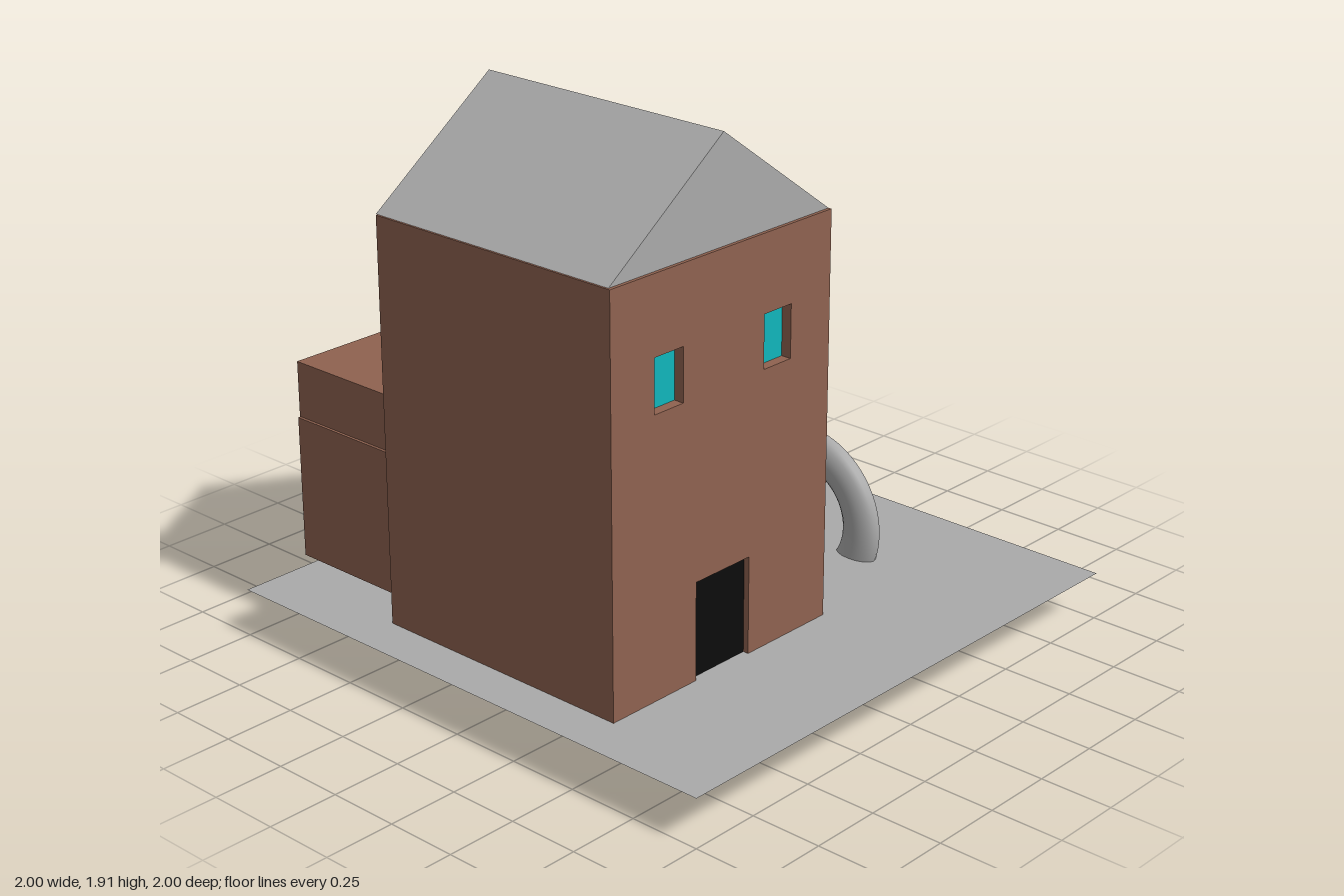
import * as THREE from 'three';

const brick = new THREE.MeshStandardMaterial({ color: 0x8f6250 });
brick.name = 'brick';
const grey = new THREE.MeshStandardMaterial({ color: 0xaaaaaa, side: THREE.DoubleSide });
grey.name = 'grey';
const glass = new THREE.MeshStandardMaterial({ color: 0x10b6bc });
glass.name = 'glass';
const black = new THREE.MeshStandardMaterial({ color: 0x0c0c0c });
black.name = 'black';

export function createModel() {
  const model = new THREE.Group();
  const add = (name, geometry, material) => {
    const mesh = new THREE.Mesh(geometry, material);
    mesh.name = name;
    model.add(mesh);
    return mesh;
  };
  // Box given by its minimum and maximum corners
  const box = (name, material, [x0, y0, z0], [x1, y1, z1]) =>
    add(name, new THREE.BoxGeometry(x1 - x0, y1 - y0, z1 - z0), material)
      .position.set((x0 + x1) / 2, (y0 + y1) / 2, (z0 + z1) / 2);
  // Points are [z, y]; the outline is extruded along x
  const toVectors = (points) => points.map(([z, y]) => new THREE.Vector2(-z, y));
  const extrudeX = (shape, x0, x1) =>
    new THREE.ExtrudeGeometry(shape, { depth: x1 - x0, bevelEnabled: false })
      .rotateY(Math.PI / 2).translate(x0, 0, 0);

  // Ground sheet
  add('ground', new THREE.PlaneGeometry(2, 2).rotateX(-Math.PI / 2), grey).position.y = 0.168;

  // House body, with a front wall cut out for the door and windows
  const inner = 0.48, outer = 0.52;
  box('houseBody', brick, [-0.465, 0.155, -0.145], [inner, 1.555, 0.84]);
  const wall = new THREE.Shape(toVectors([
    [0.84, 0.155], [0.47, 0.155], [0.47, 0.505], [0.225, 0.505], [0.225, 0.155],
    [-0.145, 0.155], [-0.145, 1.555], [0.84, 1.555],
  ]));
  for (const [z0, z1] of [[0.04, 0.165], [0.53, 0.655]]) {
    wall.holes.push(new THREE.Path(toVectors([[z0, 1.115], [z0, 1.295], [z1, 1.295], [z1, 1.115]])));
    box('window', glass, [inner - 0.002, 1.115, z0], [inner + 0.004, 1.295, z1]);
  }
  add('doorWall', extrudeX(wall, inner, outer), brick);
  box('door', black, [inner + 0.012, 0.155, 0.225], [inner + 0.02, 0.505, 0.47]);

  // Gabled roof
  const gable = new THREE.Shape(toVectors([[0.835, 1.556], [-0.142, 1.556], [0.345, 1.91]]));
  add('roof', extrudeX(gable, -0.47, 0.51), grey);

  // Long side building in two overlapping blocks
  box('sideBuildingBase', brick, [-0.995, 0.21, -0.92], [-0.497, 0.71, 0.75]);
  box('sideBuildingTop', brick, [-0.998, 0.675, -0.93], [-0.494, 0.905, 0.74]);

  // Storage tank
  add('tank', new THREE.CylinderGeometry(0.25, 0.25, 0.5, 32), grey)
    .position.set(-0.235, 0.415, -0.56);

  // Bent pipe leaving the tank and passing through the ground
  const pipe = add('pipe', new THREE.TorusGeometry(0.243, 0.072, 16, 40, Math.PI)
    .rotateZ(THREE.MathUtils.degToRad(-55)).scale(1, 1, 0.58), grey);
  pipe.position.set(0.09, 0.26, -0.57);

  return model;
}
